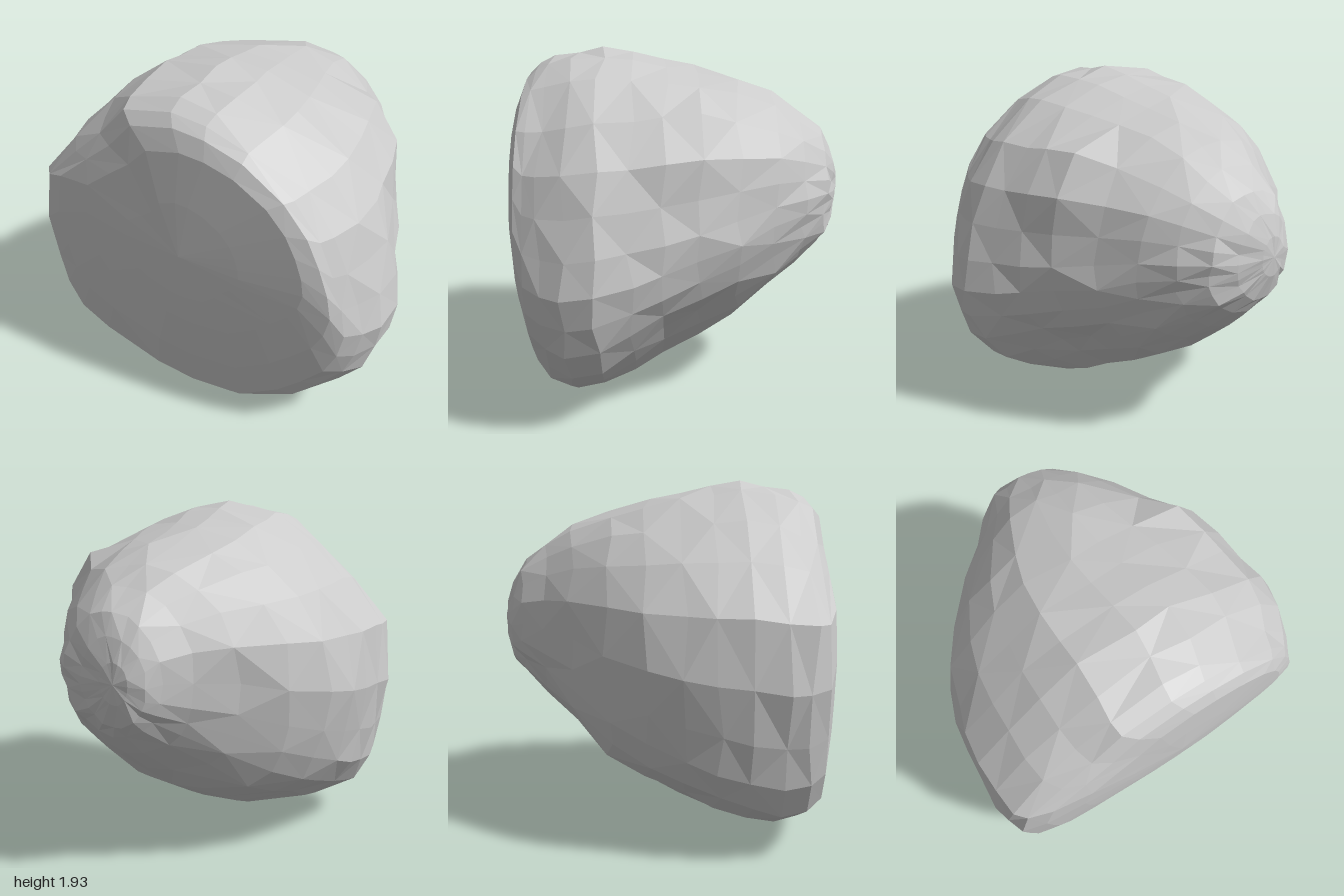
import * as THREE from 'three';

// Rock outline seen from the front, counter-clockwise from the bottom
const OUTLINE = [
  [0, 0], [0.34, 0.03], [0.63, 0.17], [0.8, 0.3], [0.93, 0.48], [0.98, 0.65], [1, 0.82], [0.97, 1.0],
  [0.91, 1.2], [0.83, 1.4], [0.68, 1.61], [0.42, 1.81], [0.18, 1.9], [-0.03, 1.93], [-0.34, 1.89], [-0.55, 1.72],
  [-0.75, 1.53], [-0.95, 1.27], [-1, 0.93], [-0.96, 0.65], [-0.92, 0.44], [-0.83, 0.27], [-0.64, 0.16], [-0.26, 0.03],
];

// Cross-sections from back to front: z, min x, max x, min y, max y, roundness
const SECTIONS = [
  [-0.89, -0.1, 0.06, 1.05, 1.27, 1],
  [-0.85, -0.18, 0.2, 0.92, 1.39, 0.9],
  [-0.79, -0.24, 0.34, 0.84, 1.5, 0.8],
  [-0.66, -0.35, 0.45, 0.72, 1.6, 0.7],
  [-0.5, -0.53, 0.56, 0.58, 1.7, 0.6],
  [-0.3, -0.73, 0.67, 0.4, 1.78, 0.5],
  [-0.1, -0.87, 0.79, 0.27, 1.83, 0.35],
  [0.08, -0.94, 0.88, 0.17, 1.87, 0.2],
  [0.25, -0.98, 0.95, 0.09, 1.9, 0.1],
  [0.42, -1, 1, 0.03, 1.93, 0],
  [0.57, -1, 0.98, 0, 1.91, 0],
  [0.7, -0.99, 0.92, 0.03, 1.88, 0],
  [0.78, -0.95, 0.87, 0.1, 1.85, 0],
  [0.83, -0.82, 0.81, 0.36, 1.8, 0],
  [0.865, -0.6, 0.68, 0.64, 1.7, 0.2],
  [0.885, -0.33, 0.34, 0.82, 1.42, 0.4],
];

// Bulges and hollows: angle, angular spread, z, depth spread, amount
const BUMPS = [
  [0.68, 0.34, -0.06, 0.26, 0.12], // shoulder on the upper flank
  [-0.75, 0.42, 0.05, 0.33, -0.12], // undercut below the flank
  [-0.7, 0.35, 0.8, 0.12, -0.07], // chipped lower rim
  [2.3, 0.4, 0.82, 0.14, -0.07], // chipped upper rim
  [-2.3, 0.4, -0.35, 0.28, 0.05], // fuller lower back
];

function seeded(seed) {
  return () => {
    seed = (seed * 16807) % 2147483647;
    return seed / 2147483647 - 0.5;
  };
}

function buildRock() {
  const rand = seeded(421);
  const n = OUTLINE.length;
  const pos = [];
  const index = [];

  SECTIONS.forEach(([z, x0, x1, y0, y1, round], i) => {
    // Chips are small on the tip and absent on the flat front
    const rough = i > 11 ? 0 : 0.022 * Math.min(1, x1 - x0);
    OUTLINE.forEach(([px, py]) => {
      let u = px;
      let v = py / 0.965 - 1;
      const k = 1 - round + round / Math.hypot(u, v);
      u *= k;
      v *= k;
      const angle = Math.atan2(v, u);
      let push = rand() * rough;
      for (const [a, spread, bz, depth, amount] of BUMPS) {
        push += amount * Math.exp(-(((angle - a) / spread) ** 2) - ((z - bz) / depth) ** 2);
      }
      pos.push(
        (x0 + x1) / 2 + ((x1 - x0) / 2) * u + Math.cos(angle) * push,
        Math.max(0, (y0 + y1) / 2 + ((y1 - y0) / 2) * v + Math.sin(angle) * push),
        z + rand() * rough * 2,
      );
    });
  });

  // Skin between neighbouring sections, with alternating diagonals
  for (let i = 0; i < SECTIONS.length - 1; i++) {
    for (let j = 0; j < n; j++) {
      const a = i * n + j;
      const b = i * n + ((j + 1) % n);
      const c = b + n;
      const d = a + n;
      if ((i + j) % 2) index.push(a, b, c, a, c, d);
      else index.push(a, b, d, b, c, d);
    }
  }

  // Close the blunt back tip and the flat front face
  const back = pos.length / 3;
  pos.push(-0.02, 1.16, -0.9, 0, 1.1, 0.9);
  const last = (SECTIONS.length - 1) * n;
  for (let j = 0; j < n; j++) {
    const k = (j + 1) % n;
    index.push(back, k, j, back + 1, last + j, last + k);
  }

  const geo = new THREE.BufferGeometry();
  geo.setAttribute('position', new THREE.Float32BufferAttribute(pos, 3));
  geo.setIndex(index);
  const faceted = geo.toNonIndexed();
  faceted.computeVertexNormals();
  return faceted;
}

export function createModel() {
  const group = new THREE.Group();
  group.name = 'boulder';
  const material = new THREE.MeshStandardMaterial({ color: 0xcccccc, flatShading: true });
  const rock = new THREE.Mesh(buildRock(), material);
  rock.name = 'rock';
  group.add(rock);
  return group;
}
